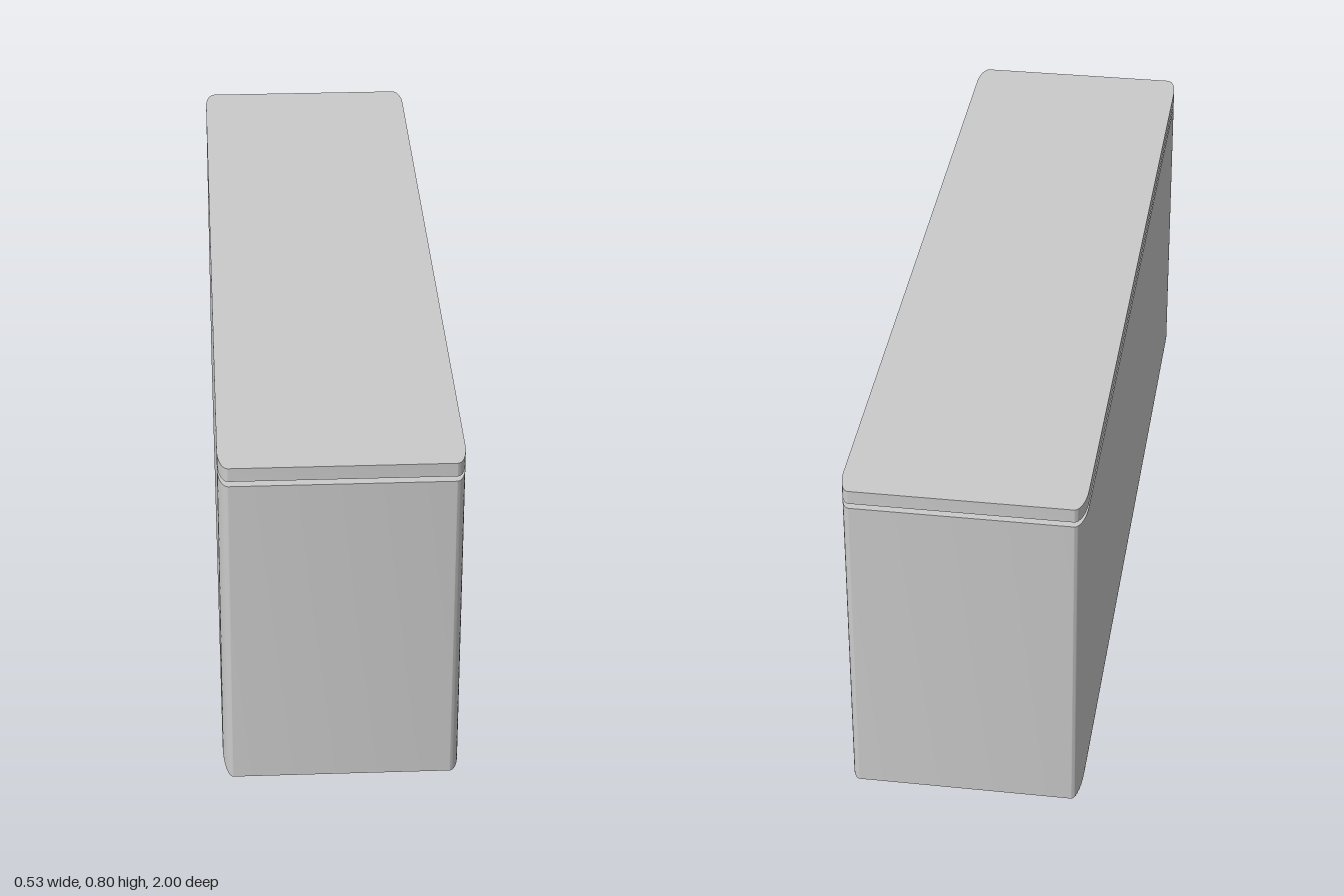
import * as THREE from 'three';
import { toCreasedNormals } from 'three/addons/utils/BufferGeometryUtils.js';

const material = new THREE.MeshStandardMaterial({ color: 0xcccccc });

// Rectangle with elliptical corners, w and d being half sizes
function planShape(w, d, rx, rz) {
  const s = new THREE.Shape();
  const q = Math.PI / 2;
  const corners = [[1, -1], [1, 1], [-1, 1], [-1, -1]];
  corners.forEach(([sx, sz], i) => {
    const a = (i - 1) * q;
    s.absellipse(sx * (w - rx), sz * (d - rz), rx, rz, a, a + q, false, 0);
  });
  s.closePath();
  return s;
}

// Upright prism between two heights
function slab(name, w, d, rx, rz, y0, y1, steps = 1, shapeVertex = null) {
  const geo = new THREE.ExtrudeGeometry(planShape(w, d, rx, rz), {
    depth: 1, steps, bevelEnabled: false, curveSegments: 10,
  });
  geo.rotateX(-Math.PI / 2);
  const p = geo.attributes.position;
  for (let i = 0; i < p.count; i++) {
    const v = new THREE.Vector3().fromBufferAttribute(p, i);
    if (shapeVertex) shapeVertex(v, Math.round(v.y * steps), steps);
    else v.y = y0 + (y1 - y0) * v.y;
    p.setXYZ(i, v.x, v.y, v.z);
  }
  const mesh = new THREE.Mesh(toCreasedNormals(geo, 0.6), material);
  mesh.name = name;
  return mesh;
}

export function createModel() {
  const group = new THREE.Group();
  group.name = 'liddedBox';
  const W = 0.265, D = 1, bodyTop = 0.756, lidBottom = 0.768, top = 0.8;

  // Body, its long bottom edge on the -x side rounded over
  const roundX = 0.02, roundY = 0.032;
  group.add(slab('body', W, D, 0.023, 0.075, 0, bodyTop, 9, (v, k, n) => {
    const a = Math.min(k / (n - 1), 1) * Math.PI / 2;
    v.y = k === n ? bodyTop : roundY * (1 - Math.cos(a));
    v.x = Math.max(v.x, -W + roundX * (1 - Math.sin(a)));
  }));

  // Recessed neck and lid
  group.add(slab('neck', 0.243, 0.975, 0.02, 0.06, bodyTop, lidBottom));
  group.add(slab('lid', W, D, 0.023, 0.075, lidBottom, top));
  return group;
}
